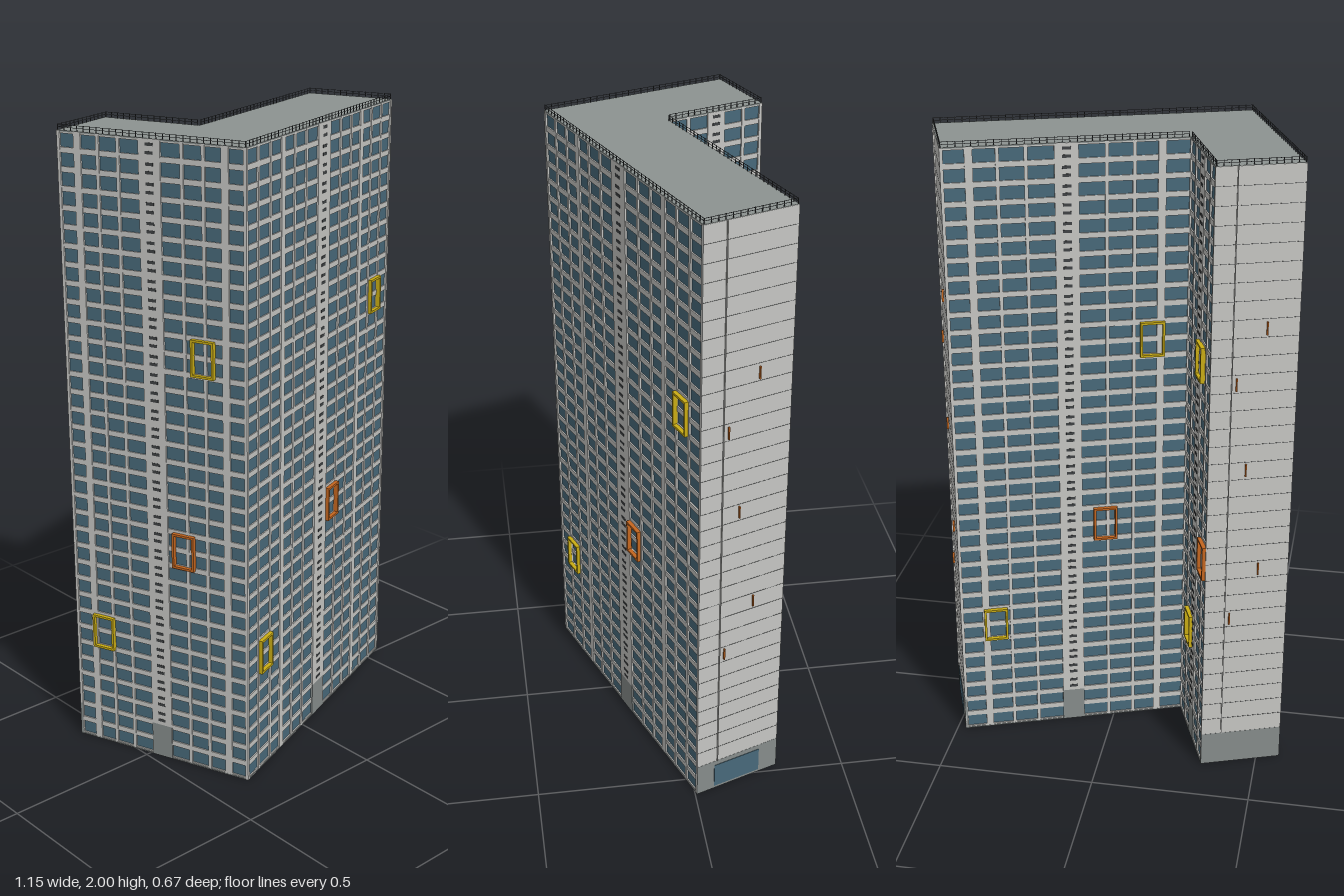
import * as THREE from 'three';
import { mergeGeometries } from 'three/addons/utils/BufferGeometryUtils.js';

const FLOORS = 35, FLOOR = 0.05665, H = FLOORS * FLOOR, BASE = FLOOR * 2;
const W = 0.994, D = 0.622, WING = 0.296, LEG = 0.261;

const mat = (name, color, extra = {}) => {
  const m = new THREE.MeshStandardMaterial({ color, ...extra });
  m.name = name;
  return m;
};

// box given by its min and max corners
function box(x0, x1, y0, y1, z0, z1) {
  const g = new THREE.BoxGeometry(x1 - x0, y1 - y0, z1 - z0);
  return g.translate((x0 + x1) / 2, (y0 + y1) / 2, (z0 + z1) / 2);
}

function add(parent, name, geos, material) {
  const mesh = new THREE.Mesh(Array.isArray(geos) ? mergeGeometries(geos) : geos, material);
  mesh.name = name;
  parent.add(mesh);
}

// L-shaped plan, inset by d, as [x, depth behind the front]
const plan = (d) => [
  [d, d], [W - d, d], [W - d, WING - d], [LEG - d, WING - d], [LEG - d, D - d], [d, D - d],
];

function prism(d, y0, y1) {
  const shape = new THREE.Shape(plan(d).map(([x, s]) => new THREE.Vector2(x, s)));
  const g = new THREE.ExtrudeGeometry(shape, { depth: y1 - y0, bevelEnabled: false });
  return g.rotateX(-Math.PI / 2).translate(0, y0, 0);
}

export function createModel() {
  const concrete = mat('concrete', 0xc6c6c3);
  const glass = mat('glass', 0x48697a);
  const grey = mat('base grey', 0x868c8b);
  const roofGrey = mat('roof grey', 0x8c9391);
  const dark = mat('dark metal', 0x3e4143);
  const yellow = mat('yellow', 0xc9ac14);
  const orange = mat('orange', 0xc4661f);

  const model = new THREE.Group();
  model.name = 'towerBlock';
  const tower = new THREE.Group();
  tower.name = 'tower';
  tower.rotation.y = THREE.MathUtils.degToRad(20);
  tower.position.set(-0.361, 0, 0.334);
  model.add(tower);

  add(tower, 'glassCore', prism(0.006, 0.003, H - 0.004), glass);
  add(tower, 'roof', prism(0.001, H - 0.004, H), roofGrey);
  add(tower, 'foundation', prism(0, 0, 0.004), grey);

  // corner posts
  add(tower, 'cornerPosts', plan(0.005).map(([x, s]) =>
    box(x - 0.005, x + 0.005, 0.002, H - 0.001, -s - 0.005, -s + 0.005)), concrete);

  // raised two-storey frame around one window bay
  function bayFrame(wall, x, floor, material) {
    const y0 = floor * FLOOR, y1 = y0 + 2 * FLOOR, x0 = x - 0.038, x1 = x + 0.038, t = 0.007;
    const z0 = -0.004, z1 = 0.011;
    add(wall, 'bayFrame', [
      box(x0, x0 + t, y0, y1, z0, z1), box(x1 - t, x1, y0, y1, z0, z1),
      box(x0, x1, y0, y0 + t, z0, z1), box(x0, x1, y1 - t, y1, z0, z1),
    ], material);
  }

  // glazed facade: floor bands, pilasters, central stair strip
  function glazedWall(wall, len, bays, strip, frames) {
    const mid = len / 2, pitch = (mid - strip) / bays;
    const bands = [], pilasters = [], vents = [];
    for (let i = 0; i <= FLOORS; i++) {
      const y = i * FLOOR;
      bands.push(box(0, len, Math.max(0.002, y - 0.0085), Math.min(H - 0.001, y + 0.0085), -0.008, -0.002));
      if (i >= 2 && i < FLOORS) {
        for (const dy of [0.012, 0.036]) {
          vents.push(box(mid - 0.013, mid + 0.013, y + dy, y + dy + 0.009, 0, 0.001));
        }
      }
    }
    for (const side of [-1, 1]) {
      for (let k = 1; k < bays; k++) {
        const x = mid + side * (strip + k * pitch), w = k % 3 === 0 ? 0.012 : 0.0055;
        pilasters.push(box(x - w, x + w, 0.002, H - 0.001, -0.008, -0.0005));
      }
    }
    add(wall, 'floorBands', bands, concrete);
    add(wall, 'pilasters', pilasters, concrete);
    add(wall, 'stairStrip', box(mid - strip, mid + strip, BASE, H - 0.001, -0.008, 0), concrete);
    add(wall, 'stairEntrance', box(mid - strip, mid + strip, 0.002, BASE, -0.008, 0), grey);
    add(wall, 'stairVents', vents, dark);
    bayFrame(wall, frames[0], 6, yellow);
    bayFrame(wall, frames[1], 12, orange);
    bayFrame(wall, frames[2], 23, yellow);
  }

  // blank gable: panels with thin joints, a rib and small markers
  function gableWall(wall, len, hasDoor) {
    add(wall, 'gablePanel', box(0, len, BASE, H - 0.001, -0.008, 0), concrete);
    add(wall, 'gableBase', box(0, len, 0.002, BASE, -0.008, 0.0005), grey);
    const joints = [];
    for (let i = 3; i < FLOORS; i++) {
      joints.push(box(0, len, i * FLOOR - 0.0005, i * FLOOR + 0.0005, 0, 0.0006));
    }
    add(wall, 'panelJoints', joints, dark);
    add(wall, 'gableRib', box(len * 0.24, len * 0.25, BASE, H - 0.001, 0, 0.004), concrete);
    const marks = [[0.63, 1.5], [0.3, 1.33], [0.44, 1.05], [0.63, 0.71], [0.3, 0.54]];
    add(wall, 'gableMarkers', marks.map(([f, y]) =>
      box(len * f - 0.002, len * f + 0.002, y - 0.02, y + 0.02, 0, 0.006)), orange);
    if (hasDoor) add(wall, 'groundWindow', box(len * 0.21, len * 0.77, 0.01, 0.096, 0, 0.002), glass);
  }

  // thin roof railing along one edge
  function railing(wall, len) {
    const n = Math.round(len / 0.022), parts = [];
    for (let i = 0; i <= n; i++) {
      const x = 0.003 + (i / n) * (len - 0.006);
      parts.push(box(x - 0.001, x + 0.001, H - 0.002, 2, -0.005, -0.003));
    }
    for (const y of [1.9915, 1.9988]) {
      parts.push(box(0.002, len - 0.002, y - 0.0006, y + 0.0006, -0.0046, -0.0034));
    }
    add(wall, 'roofRailing', parts, dark);
  }

  // one entry per edge of the plan, going round from the front
  const builders = [
    ['frontWall', (w, l) => glazedWall(w, l, 6, 0.042, [0.112, 0.576, 0.88])],
    ['rightGable', (w, l) => gableWall(w, l, true)],
    ['innerBackWall', (w, l) => glazedWall(w, l, 4, 0.036, [0.114, 0.476, 0.624])],
    ['innerSideWall', (w, l) => glazedWall(w, l, 2, 0.03, [0.123, 0.285, 0.204])],
    ['backGable', (w, l) => gableWall(w, l, false)],
    ['outerSideWall', (w, l) => glazedWall(w, l, 4, 0.036, [0.106, 0.404, 0.479])],
  ];
  const corners = plan(0);
  builders.forEach(([name, build], i) => {
    const [x0, s0] = corners[i], [x1, s1] = corners[(i + 1) % corners.length];
    const wall = new THREE.Group(), len = Math.hypot(x1 - x0, s1 - s0);
    wall.name = name;
    wall.position.set(x0, 0, -s0);
    wall.rotation.y = Math.atan2(s1 - s0, x1 - x0);
    build(wall, len);
    railing(wall, len);
    tower.add(wall);
  });
  return model;
}
